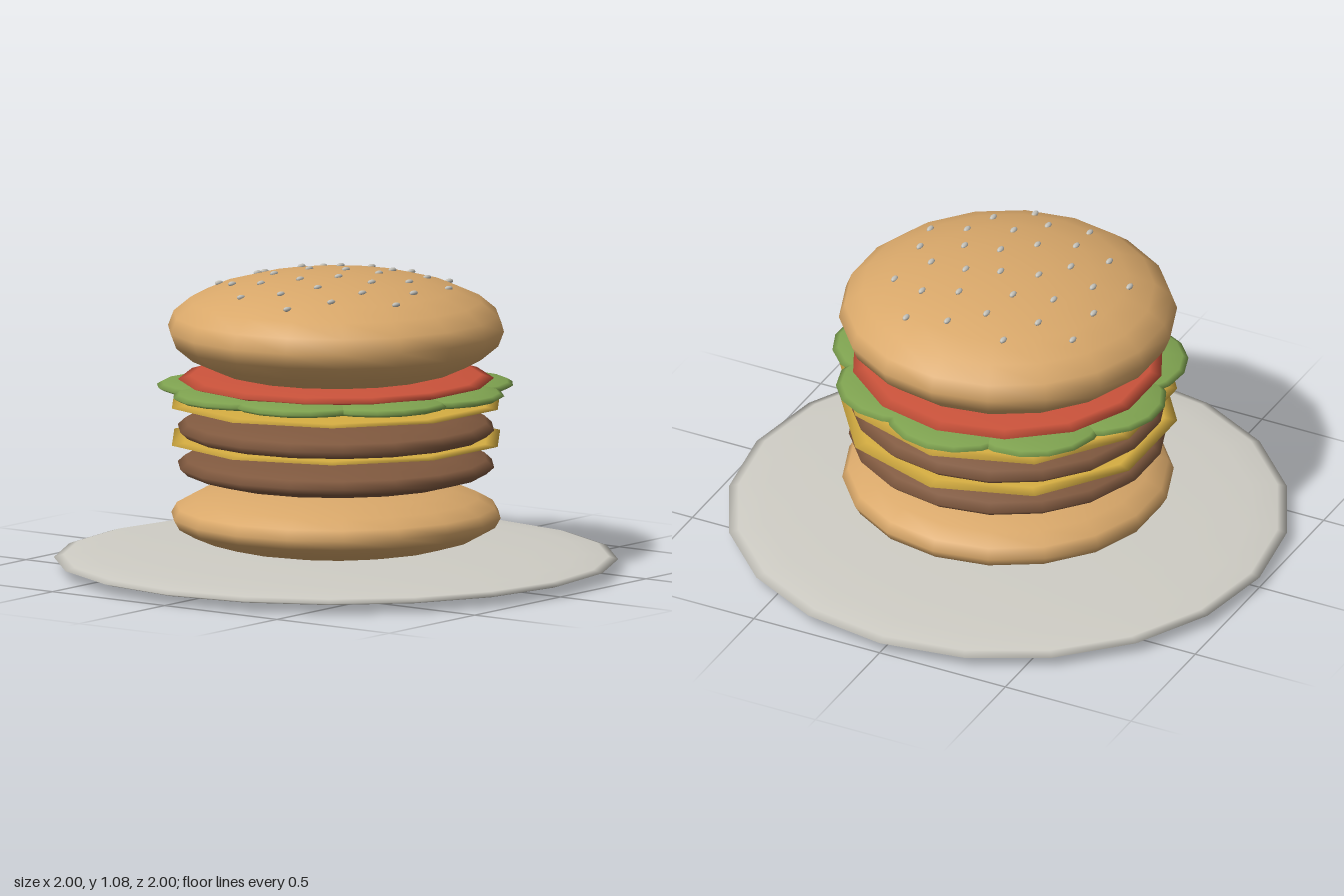
import * as THREE from 'three';

const mat = (name, color) => {
  const m = new THREE.MeshStandardMaterial({ color });
  m.name = name;
  return m;
};

export function createModel() {
  const group = new THREE.Group();
  const plateGrey = mat('plate grey', 0xcfcdc5);
  const seedGrey = mat('seed grey', 0xc4c2ba);
  const bun = mat('toasted bun', 0xd9a86a);
  const meat = mat('grilled meat', 0x80593f);
  const cheese = mat('cheese yellow', 0xd6ae42);
  const lettuce = mat('lettuce green', 0x7fa350);
  const tomato = mat('tomato red', 0xcb533b);

  // Flattened sphere: every layer is one of these with its own side count
  const disc = (rx, ry, rz, sides, rings) =>
    new THREE.SphereGeometry(1, sides, rings).scale(rx, ry, rz);
  const add = (name, geometry, material, x, y, z, parent = group) => {
    const mesh = new THREE.Mesh(geometry, material);
    mesh.name = name;
    mesh.position.set(x, y, z);
    parent.add(mesh);
    return mesh;
  };

  // Stack, bottom to top: name, material, radius, half height, centre y, sides, rings
  const layers = [
    ['plate', plateGrey, 1, 0.04, 0.04, 20, 12],
    ['bottomBun', bun, 0.588, 0.135, 0.195, 18, 12],
    ['lowerPatty', meat, 0.565, 0.08, 0.377, 18, 10],
    ['lowerCheese', cheese, 0.607, 0.018, 0.472, 10, 8],
    ['upperPatty', meat, 0.565, 0.08, 0.51, 18, 10],
    ['upperCheese', cheese, 0.607, 0.018, 0.605, 10, 8],
    ['tomatoSlice', tomato, 0.56, 0.033, 0.685, 14, 8],
    ['topBun', bun, 0.6, 0.205, 0.865, 18, 12],
  ];
  for (const [name, material, r, h, y, sides, rings] of layers) {
    add(name, disc(r, h, r, sides, rings), material, 0, y, 0);
  }

  // Ring of nine overlapping lettuce leaves
  const leaves = new THREE.Group();
  leaves.name = 'lettuce';
  const leafGeometry = disc(0.26, 0.03, 0.26, 16, 8);
  for (let i = 0; i < 9; i++) {
    const a = (i / 9) * Math.PI * 2;
    const leaf = add('lettuceLeaf', leafGeometry, lettuce, 0.38 * Math.cos(a), 0.653, 0.38 * Math.sin(a), leaves);
    leaf.rotation.y = -a;
  }
  group.add(leaves);

  // Sesame seeds in a golden-angle spiral over the top bun
  const seeds = new THREE.Group();
  seeds.name = 'sesameSeeds';
  const seedGeometry = disc(0.02, 0.009, 0.011, 8, 6);
  for (let i = 0; i < 32; i++) {
    const r = 0.46 * Math.sqrt((i + 0.5) / 32);
    const a = i * Math.PI * (3 - Math.sqrt(5));
    const y = 0.865 + 0.205 * Math.sqrt(1 - (r / 0.6) ** 2);
    add('sesameSeed', seedGeometry, seedGrey, r * Math.cos(a), y, r * Math.sin(a), seeds);
  }
  group.add(seeds);

  return group;
}
